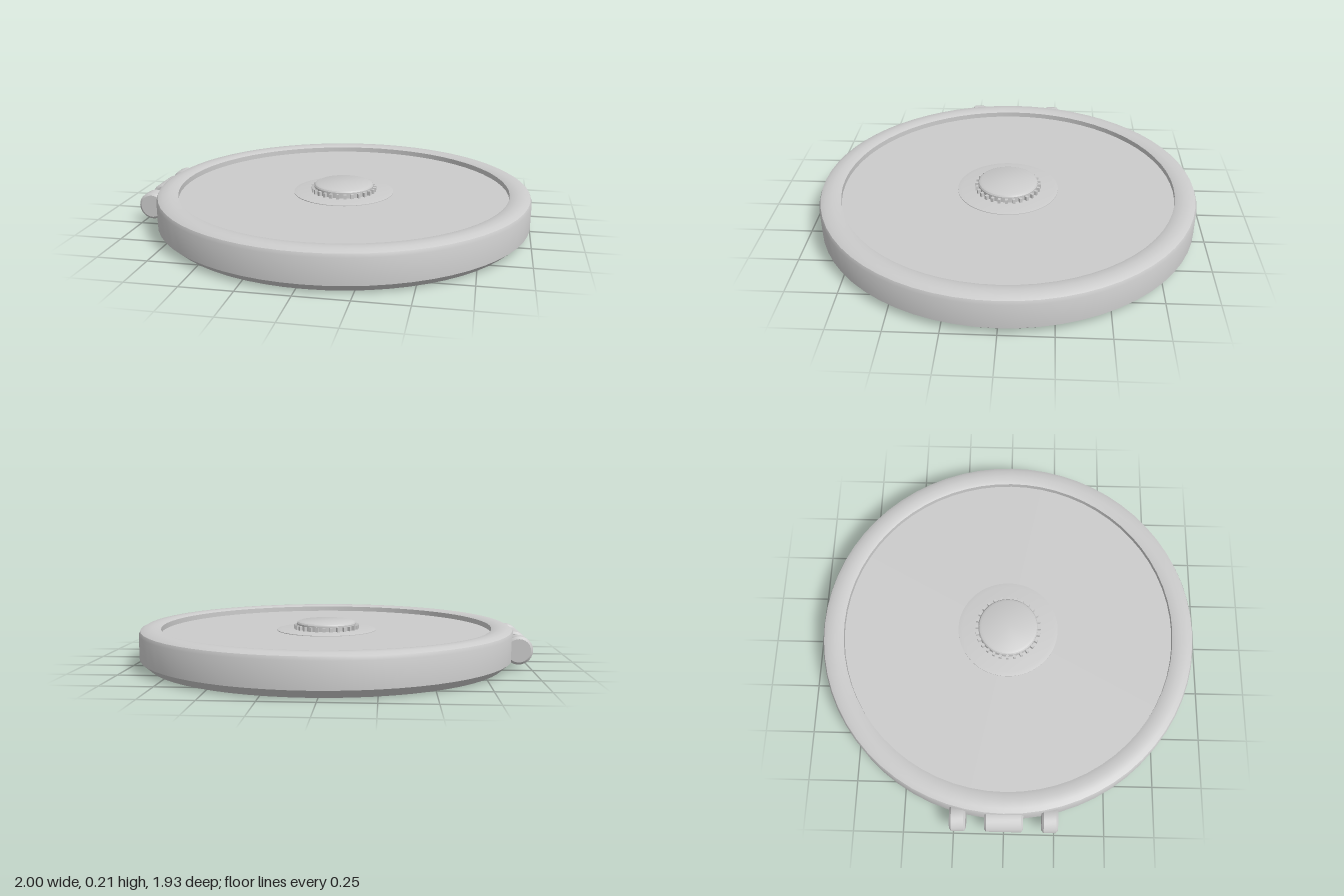
import * as THREE from 'three';
import { toCreasedNormals } from 'three/addons/utils/BufferGeometryUtils.js';

const CX = 0.035; // the round body sits off-centre to leave room for the hinge
const grey = new THREE.MeshStandardMaterial({ color: 0xcccccc });

// Turned part from [radius, height] pairs, listed counter-clockwise
function turned(name, points, segments = 64) {
  const lathe = new THREE.LatheGeometry(points.map(([r, y]) => new THREE.Vector2(r, y)), segments);
  const mesh = new THREE.Mesh(toCreasedNormals(lathe, 0.5), grey);
  mesh.name = name;
  return mesh;
}

export function createModel() {
  const model = new THREE.Group();
  model.name = 'roundHatch';
  const body = new THREE.Group();
  body.name = 'body';
  body.position.x = CX;
  model.add(body);

  // Outer rim: chamfered below, softly rounded on top
  body.add(turned('rim', [
    [0.855, 0.16], [0.855, 0.13], [0.865, 0], [0.92, 0], [0.965, 0.04], [0.965, 0.165],
    [0.958, 0.182], [0.935, 0.194], [0.9, 0.196], [0.87, 0.193], [0.855, 0.187], [0.855, 0.16],
  ]));

  // Recessed cover plate
  body.add(turned('plate', [[0, 0.13], [0.86, 0.13], [0.86, 0.16], [0, 0.16]]));

  // Bevelled centre disc, showing on both faces of the plate
  body.add(turned('centreDisc', [
    [0, 0.126], [0.25, 0.126], [0.26, 0.13], [0.26, 0.163], [0.238, 0.167], [0, 0.167],
  ]));

  // Knob with a bevelled top
  body.add(turned('knob', [
    [0, 0.16], [0.155, 0.16], [0.155, 0.196], [0.15, 0.203], [0.137, 0.209], [0, 0.209],
  ], 48));

  // Grip teeth around the knob
  const teeth = new THREE.Group();
  teeth.name = 'gripTeeth';
  const toothGeometry = new THREE.BoxGeometry(0.024, 0.024, 0.014);
  const count = 28;
  for (let i = 0; i < count; i++) {
    const a = (i / count) * Math.PI * 2;
    const tooth = new THREE.Mesh(toothGeometry, grey);
    tooth.name = 'tooth';
    tooth.position.set(Math.cos(a) * 0.159, 0.177, -Math.sin(a) * 0.159);
    tooth.rotation.y = a;
    teeth.add(tooth);
  }
  body.add(teeth);

  // Hinge barrels along the side, each with chamfered ends
  const hinge = new THREE.Group();
  hinge.name = 'hinge';
  hinge.position.set(-0.93, 0.1, 0);
  for (const [z, length] of [[-0.225, 0.08], [0, 0.19], [0.225, 0.08]]) {
    const h = length / 2;
    const barrel = turned('hingeBarrel', [
      [0, -h], [0.058, -h], [0.07, -h + 0.01], [0.07, h - 0.01], [0.058, h], [0, h],
    ], 24);
    barrel.rotation.x = Math.PI / 2;
    barrel.position.z = z;
    hinge.add(barrel);
  }
  model.add(hinge);

  return model;
}
